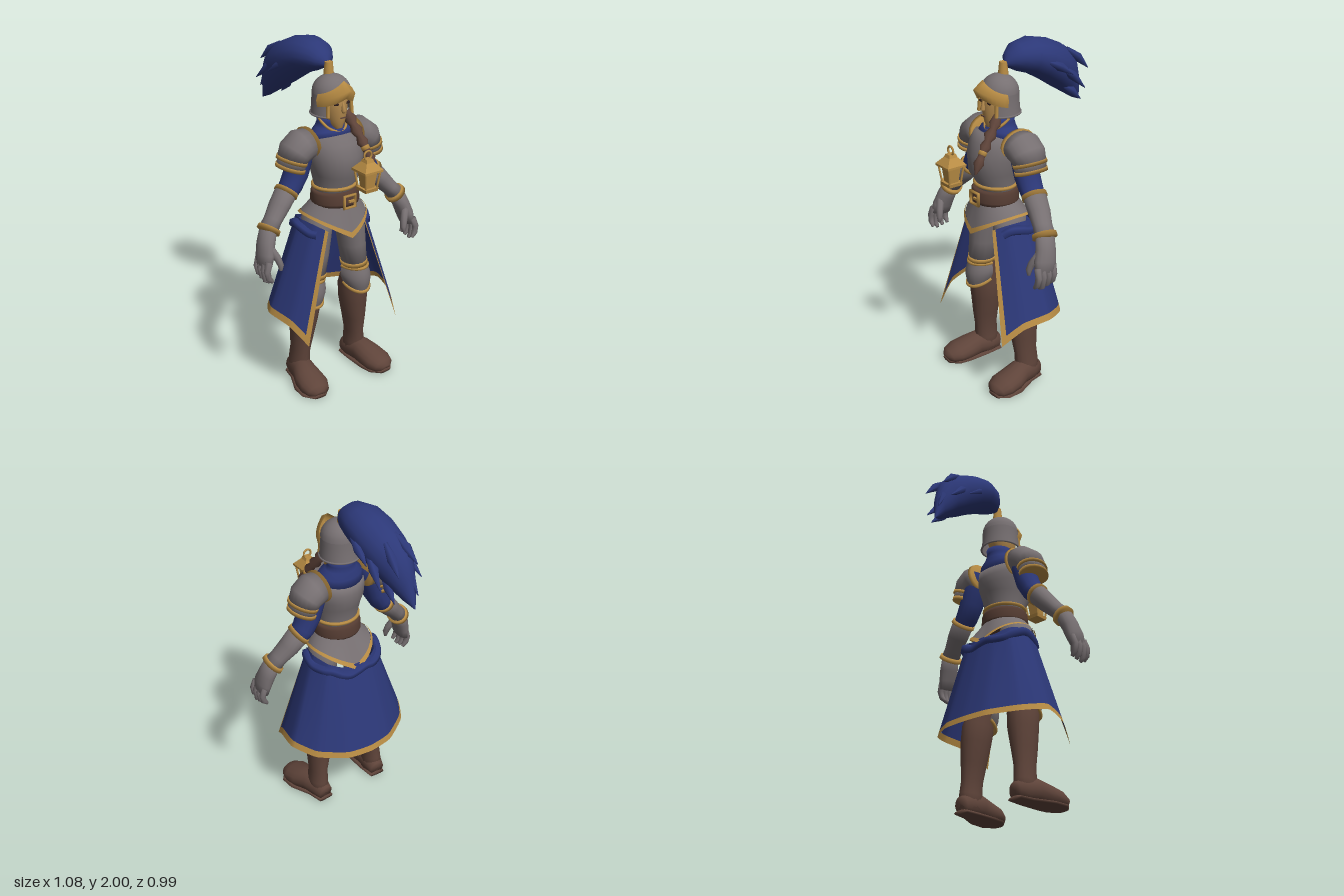
import * as THREE from 'three';

const paint = (name, color, side = THREE.FrontSide) => {
  const m = new THREE.MeshStandardMaterial({ color, side });
  m.name = name;
  return m;
};
const V = (x, y, z) => new THREE.Vector3(x, y, z);
const lerp = THREE.MathUtils.lerp;
const range = (n, f) => Array.from({ length: n + 1 }, (_, i) => f(i / n));

// Surface through rows of points; outward facing when it encloses a volume
function grid(rows, closed = false) {
  const n = rows[0].length, pos = [], idx = [];
  rows.forEach(r => r.forEach(p => pos.push(p.x, p.y, p.z)));
  let vol = 0;
  const tri = (a, b, c, P = rows.flat()) => idx.push(a, b, c);
  for (let i = 0; i < rows.length - 1; i++)
    for (let j = 0; j < (closed ? n : n - 1); j++) {
      const k = (j + 1) % n, a = i * n + j, b = i * n + k, c = a + n, d = b + n;
      tri(a, c, b, null);
      tri(b, c, d, null);
    }
  const flat = rows.flat();
  for (let i = 0; i < idx.length; i += 3)
    vol += flat[idx[i]].dot(V(0, 0, 0).crossVectors(flat[idx[i + 1]], flat[idx[i + 2]]));
  if (closed && vol < 0) idx.reverse();
  const g = new THREE.BufferGeometry();
  g.setAttribute('position', new THREE.Float32BufferAttribute(pos, 3));
  g.setIndex(idx);
  g.computeVertexNormals();
  return g;
}

// Capped limb from sections [x, y, z, radiusAcross, radiusDeep]
function limb(secs, n = 16, ref = V(0, 0, 1)) {
  const c = secs.map(s => V(s[0], s[1], s[2]));
  const rows = secs.map((s, i) => {
    const t = c[Math.min(i + 1, c.length - 1)].clone().sub(c[Math.max(i - 1, 0)]).normalize();
    const u = ref.clone().cross(t).normalize(), w = t.clone().cross(u);
    return Array.from({ length: n }, (_, j) => {
      const a = j / n * Math.PI * 2;
      const p = c[i].clone().addScaledVector(u, s[3] * Math.cos(a)).addScaledVector(w, s[4] * Math.sin(a));
      p.y = Math.max(p.y, 0);
      return p;
    });
  });
  const cap = p => Array.from({ length: n }, () => p.clone());
  return grid([cap(c[0]), ...rows, cap(c[c.length - 1])], true);
}

const tube = (pts, r, closed = false) =>
  new THREE.TubeGeometry(new THREE.CatmullRomCurve3(pts, closed), pts.length * 3, r, 6, closed);
const oval = (x, y, z, rx, rz, a) => V(x + rx * Math.cos(a), y, z + rz * Math.sin(a));
const faceted = g => { const f = g.toNonIndexed(); f.computeVertexNormals(); return f; };

function add(parent, name, geo, mat, x = 0, y = 0, z = 0) {
  const m = new THREE.Mesh(geo, mat);
  m.name = name;
  m.position.set(x, y, z);
  parent.add(m);
  return m;
}

function mirrored(src, name) {
  const out = new THREE.Group();
  out.name = name;
  src.updateMatrixWorld(true);
  src.traverse(o => {
    if (!o.isMesh) return;
    const g = o.geometry.clone().applyMatrix4(o.matrixWorld).scale(-1, 1, 1);
    g.index.array.reverse();
    add(out, o.name, g, o.material);
  });
  return out;
}

export function createModel() {
  const D = THREE.DoubleSide;
  const blue = paint('blue cloth', 0x2c3878, D), steel = paint('grey steel', 0x777072, D);
  const gold = paint('gold trim', 0xb88c44, D), brown = paint('brown leather', 0x5f443a);
  const belt = paint('dark belt leather', 0x563d33), skin = paint('skin', 0xb48a4e);
  const dark = paint('dark eyes', 0x33211f);
  const model = new THREE.Group();
  model.name = 'armouredKnight';

  // Torso, collar and belt
  add(model, 'breastplate', limb([[0, 1.15, .15, .12, .11], [0, 1.22, .145, .12, .105], [0, 1.3, .16, .142, .14],
    [0, 1.38, .153, .16, .152], [0, 1.44, .14, .163, .14], [0, 1.49, .125, .148, .122]], 24), steel);
  add(model, 'collar', limb([[0, 1.46, .125, .15, .12], [0, 1.52, .11, .128, .095], [0, 1.545, .108, .09, .08],
    [0, 1.57, .108, .075, .075], [0, 1.6, .11, .08, .082]], 24), blue);
  add(model, 'neckline', tube(range(12, t => oval(0, 1.49 - .025 * Math.sin(t * Math.PI), .125, .145, .128, Math.PI * t)), .011), gold);
  add(model, 'collarTrim', tube(range(10, t => oval(0, 1.6 - .07 * Math.sin(t * Math.PI), .11, .08, .09, Math.PI * t)), .008), gold);
  add(model, 'waistTrim', tube(range(15, t => oval(0, 1.215, .147, .124, .111, t * 5.89)), .011, true), gold);
  add(model, 'belt', limb([[0, 1.115, .152, .135, .13], [0, 1.13, .152, .141, .134], [0, 1.18, .15, .137, .13], [0, 1.195, .15, .13, .122]], 24), belt);
  add(model, 'buckle', new THREE.TorusGeometry(.05, .01, 6, 4).rotateZ(Math.PI / 4), gold, 0, 1.15, .292);
  add(model, 'bucklePin', new THREE.BoxGeometry(.045, .012, .012), gold, .015, 1.15, .293);

  // Flared hip plates, pointed at front and back
  const hips = (k0, k1, off) => grid([k0, (k0 + k1) / 2, k1].map(k => Array.from({ length: 32 }, (_, j) => {
    const a = j / 32 * Math.PI * 2, hem = .94 + .12 * Math.abs(Math.cos(a));
    return oval(0, lerp(1.13, hem, k), lerp(.15, .13, k), lerp(.13, .192, k) + off, lerp(.12, .188, k) + off, a);
  })), true);
  add(model, 'hipPlates', hips(0, .88, 0), steel);
  add(model, 'hipTrim', hips(.83, 1, .005), gold);

  // Long coat skirt, open in front
  const sweep = half => new THREE.CatmullRomCurve3([...half.map(p => V(...p)),
    ...half.slice(0, -1).reverse().map(([x, y, z]) => V(-x, y, z))], false, 'catmullrom', .25);
  const top = sweep([[.125, .99, .265], [.175, 1.02, .2], [.2, 1.03, .1], [.165, 1.01, 0], [.09, .98, -.04], [0, .98, -.05]]);
  const hem = sweep([[.31, .36, .34], [.36, .45, .22], [.39, .475, .06], [.31, .45, -.08], [.15, .435, -.18], [0, .43, -.2]]);
  const cloth = (u0, u1, v0, v1, n) => grid(range(6, v => range(n, u => {
    const s = lerp(u0, u1, u);
    return top.getPoint(s).lerp(hem.getPoint(s), lerp(v0, v1, v));
  })));
  add(model, 'skirt', cloth(.027, .973, 0, .935, 40), blue);
  add(model, 'skirtHemTrim', cloth(0, 1, .935, 1, 42), gold);
  add(model, 'skirtEdgeLeft', cloth(0, .027, 0, .935, 2), gold);
  add(model, 'skirtEdgeRight', cloth(.973, 1, 0, .935, 2), gold);
  add(model, 'skirtFold', tube(range(16, t => {
    const p = top.getPoint(lerp(.06, .94, t));
    return V(p.x * 1.06, p.y - .045 + .012 * Math.sin(t * 25), p.z - .005);
  }), .028), blue);

  // Left leg, boot and knee armour
  const leg = new THREE.Group();
  leg.name = 'leftLeg';
  add(leg, 'thighPlate', limb([[.1, 1.06, .13, .085, .1], [.115, .95, .135, .082, .1], [.13, .82, .14, .077, .092],
    [.147, .7, .14, .072, .085]]), steel);
  add(leg, 'thighTrim', limb([[.146, .705, .14, .076, .09], [.149, .68, .14, .076, .09]]), gold);
  add(leg, 'boot', limb([[.15, .74, .13, .066, .07], [.162, .6, .12, .07, .08], [.17, .515, .105, .084, .098],
    [.177, .42, .095, .08, .094], [.188, .3, .09, .064, .083], [.195, .2, .085, .051, .072], [.2, .12, .08, .055, .074],
    [.2, .03, .075, .058, .075]]), brown);
  add(leg, 'foot', limb([[.195, .05, .003, .045, .05], [.2, .06, .06, .06, .07], [.212, .07, .14, .07, .075],
    [.225, .055, .21, .085, .068], [.232, .045, .28, .088, .06], [.238, .035, .33, .068, .045], [.24, .025, .35, .035, .026]], 16, V(0, 1, 0)), brown);
  add(leg, 'sole', limb([[.195, .01, 0, .05, .014], [.2, .01, .09, .063, .014], [.228, .01, .22, .092, .014],
    [.236, .01, .3, .088, .014], [.24, .01, .35, .04, .014]], 12, V(0, 1, 0)), brown);
  const knee = (k, off) => range(12, t => {
    const a = Math.PI * t, b = .016 * Math.sin(k * Math.PI) + off;
    return oval(lerp(.155, .168, k), lerp(.665, .555 - .045 * Math.sin(a), k), .12, .077 + b, .1 + b, a);
  });
  add(leg, 'kneePlate', grid(range(5, k => knee(k, 0))), steel);
  add(leg, 'kneeTopTrim', tube(knee(0, 0), .011), gold);
  add(leg, 'kneeLowerTrim', tube(knee(1, 0), .012), gold);
  model.add(leg, mirrored(leg, 'rightLeg'));

  // Left arm with shoulder plates, bracer and glove
  const arm = new THREE.Group();
  arm.name = 'leftArm';
  add(arm, 'sleeve', limb([[.16, 1.5, .1, .06, .08], [.2, 1.4, .1, .068, .08], [.225, 1.31, .1, .066, .075],
    [.262, 1.24, .1, .06, .07], [.315, 1.18, .105, .05, .06]]), blue);
  add(arm, 'shoulderPlate', limb([[.14, 1.47, .105, .08, .1], [.19, 1.465, .105, .092, .108], [.235, 1.435, .105, .086, .106],
    [.256, 1.39, .105, .075, .098]], 20), steel);
  add(arm, 'shoulderLowerPlate', limb([[.25, 1.4, .105, .073, .1], [.266, 1.35, .105, .07, .094]], 20), steel);
  [['shoulderInnerTrim', [[.135, 1.472, .105, .085, .107], [.155, 1.47, .105, .09, .11]]],
    ['shoulderMiddleTrim', [[.252, 1.402, .105, .079, .104], [.258, 1.384, .105, .079, .104]]],
    ['shoulderLowerTrim', [[.262, 1.362, .105, .075, .1], [.268, 1.342, .105, .075, .1]]],
    ['elbowCuff', [[.283, 1.222, .1, .064, .072], [.3, 1.205, .104, .066, .074]]],
    ['wristCuff', [[.43, 1.055, .145, .06, .07], [.446, 1.036, .15, .062, .072]]]
  ].forEach(([name, secs]) => add(arm, name, limb(secs, 20), gold));
  add(arm, 'bracer', limb([[.29, 1.215, .1, .06, .067], [.35, 1.145, .115, .055, .064], [.405, 1.085, .135, .046, .056],
    [.445, 1.04, .148, .05, .06]]), steel);
  add(arm, 'glove', limb([[.445, 1.04, .15, .045, .055], [.47, .98, .165, .046, .06], [.487, .92, .182, .042, .067],
    [.5, .865, .19, .03, .065]]), steel);
  [.14, .175, .21, .242].forEach((z, i) => add(arm, 'finger', limb([[.5, .9, z, .021, .019], [.518, .85, z + .006, .02, .018],
    [.51, .81 - .01 * (i % 3), z + .01, .018, .016], [.488, .785 - .006 * (i % 3), z + .012, .01, .01]], 8), steel));
  add(arm, 'thumb', limb([[.47, .96, .21, .024, .024], [.44, .905, .235, .021, .021], [.428, .865, .245, .018, .018],
    [.43, .835, .248, .009, .009]], 8), steel);
  model.add(arm, mirrored(arm, 'rightArm'));

  // Head and braid
  add(model, 'face', limb([[0, 1.54, .185, .02, .022], [0, 1.575, .162, .046, .062], [0, 1.63, .138, .066, .09],
    [0, 1.69, .125, .077, .1], [0, 1.75, .12, .078, .095]], 20), skin);
  add(model, 'nose', limb([[0, 1.7, .222, .007, .006], [0, 1.655, .228, .014, .016], [0, 1.643, .226, .008, .008]], 8), skin);
  add(model, 'mouth', new THREE.BoxGeometry(.034, .006, .006), brown, 0, 1.615, .226);
  add(model, 'fringe', limb([[0, 1.712, .125, .083, .103], [0, 1.75, .12, .085, .104]], 20), brown);
  for (const s of [-1, 1])
    add(model, 'eye', new THREE.SphereGeometry(1, 10, 6).scale(.02, .008, .008), dark, s * .034, 1.692, .212);
  add(model, 'braid', limb([[.06, 1.63, .17, .02, .02], [.07, 1.585, .2, .034, .034], [.075, 1.56, .215, .02, .02],
    [.08, 1.53, .24, .036, .036], [.085, 1.505, .26, .02, .02], [.09, 1.475, .28, .033, .033], [.094, 1.45, .3, .018, .018],
    [.098, 1.42, .318, .022, .022], [.102, 1.395, .334, .03, .03], [.107, 1.34, .36, .004, .004]], 10), brown);
  add(model, 'braidRing', limb([[.093, 1.455, .295, .024, .024], [.096, 1.437, .308, .024, .024]], 10), gold);

  // Helmet with open face and raised visor
  add(model, 'helmetDome', grid(range(7, k => Array.from({ length: 24 }, (_, j) =>
    oval(0, 1.735 + .1 * Math.sin(k * Math.PI / 2), .115, .108 * Math.cos(k * Math.PI / 2), .106 * Math.cos(k * Math.PI / 2), j / 12 * Math.PI))), true), steel);
  const side = k => range(24, t => oval(0, lerp(1.737, 1.62, k), .115, .108 + .006 * k * k, .106 + .008 * k * k, Math.PI / 2 + lerp(.78, Math.PI * 2 - .78, t)));
  add(model, 'helmetSides', grid(range(4, side)), steel);
  add(model, 'helmetRim', tube(side(1), .006), steel);
  for (const j of [0, 24])
    add(model, 'cheekTrim', tube(range(4, k => side(k)[j]), .011), gold);
  const visor = [[.11, 1.745, .075, .112, 0], [.124, 1.715, .065, .13, .04], [.116, 1.675, .05, .12, .012]];
  add(model, 'visor', grid(visor.map(([rx, y, rise, rz, tip]) => range(16, u => {
    const t = u * 2 - 1, p = 1 - Math.abs(t);
    return V(rx * Math.sin(1.35 * t), y + rise * (.4 * p + .6 * p * p), .115 + rz * Math.cos(1.35 * t) + tip * p * p);
  }))), gold);

  // Plume swept backwards, with loose feather tips
  add(model, 'plumeHolder', new THREE.CylinderGeometry(.022, .03, .08, 12), gold, 0, 1.855, .09);
  // each row: z and y of the upper edge, z and y of the lower edge, half width
  const plume = [[.08, 1.89, .07, 1.86, .015], [.055, 1.94, .04, 1.845, .06], [0, 1.985, 0, 1.825, .095], [-.1, 2, -.07, 1.8, .122],
    [-.21, 1.975, -.15, 1.755, .13], [-.32, 1.925, -.25, 1.69, .12], [-.41, 1.85, -.34, 1.635, .09], [-.46, 1.73, -.43, 1.58, .045], [-.49, 1.56, -.49, 1.555, .003]];
  add(model, 'plume', grid(plume.map(([z1, y1, z0, y0, w], i) => Array.from({ length: 16 }, (_, j) => {
    const a = j / 8 * Math.PI, k = (Math.sin(a) + 1) / 2;
    return V(-.05 * (i / 8) ** 2 + w * Math.cos(a), lerp(y0, y1, k), lerp(z0, z1, k));
  })), true), blue);
  [[.1, 1.88, -.13, .125, 1.78, -.3], [-.1, 1.87, -.13, -.135, 1.77, -.3], [.08, 1.83, -.24, .11, 1.68, -.4],
    [-.09, 1.85, -.24, -.125, 1.7, -.44], [.03, 1.9, -.33, .05, 1.77, -.47], [-.05, 1.92, -.3, -.08, 1.8, -.46],
    [.02, 1.7, -.3, .04, 1.59, -.43], [-.04, 1.8, -.38, -.07, 1.63, -.485]
  ].forEach(([x, y, z, X, Y, Z]) => add(model, 'featherTip', limb([[x, y, z, .012, .012],
    [lerp(x, X, .5), lerp(y, Y, .45), lerp(z, Z, .5), .03, .026], [X, Y, Z, .002, .002]], 6), blue));

  // Lantern hanging in front of the chest
  const lantern = new THREE.Group();
  lantern.name = 'lantern';
  lantern.position.z = .443;
  const square = (r1, r0, h) => faceted(new THREE.CylinderGeometry(r1 * Math.SQRT2, r0 * Math.SQRT2, h, 4).rotateY(Math.PI / 4));
  add(lantern, 'lanternBase', square(.044, .04, .02), gold, 0, 1.28, 0);
  add(lantern, 'lanternCore', square(.038, .027, .1), gold, 0, 1.335, 0);
  add(lantern, 'lanternEave', square(.06, .06, .012), gold, 0, 1.387, 0);
  add(lantern, 'lanternRoof', square(.026, .06, .04), gold, 0, 1.412, 0);
  add(lantern, 'lanternCap', square(.02, .026, .018), gold, 0, 1.44, 0);
  add(lantern, 'lanternRing', new THREE.TorusGeometry(.024, .006, 6, 16), gold, 0, 1.468, 0);
  for (const x of [-1, 1]) for (const z of [-1, 1])
    add(lantern, 'lanternPost', tube([V(x * .036, 1.285, z * .036), V(x * .049, 1.385, z * .049)], .006), gold);
  model.add(lantern);

  return model;
}
